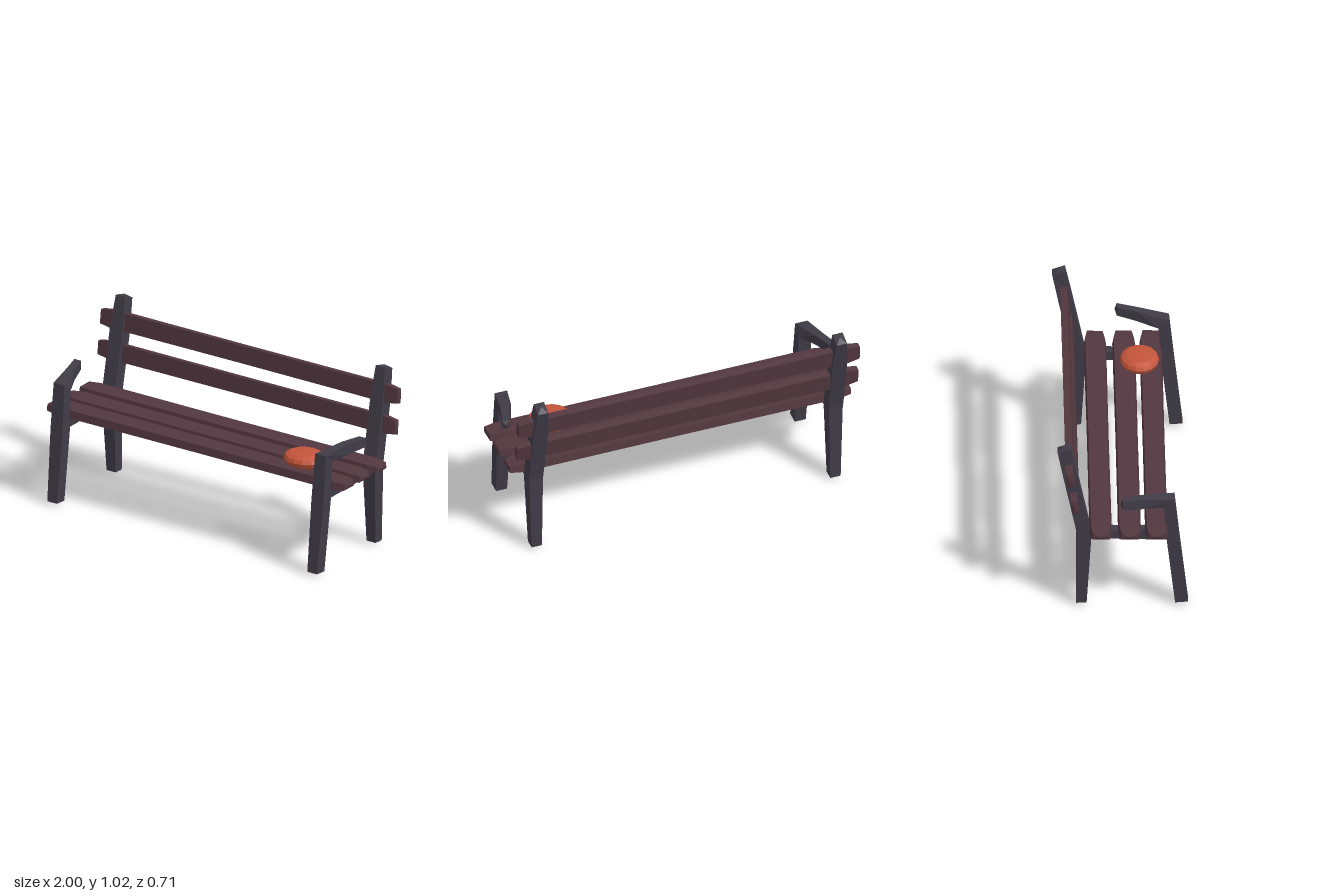
import * as THREE from 'three';

const material = (name, color) => {
  const m = new THREE.MeshStandardMaterial({ color });
  m.name = name;
  return m;
};

// Faceted normals for any geometry
function facet(geo) {
  const g = geo.index ? geo.toNonIndexed() : geo;
  g.computeVertexNormals();
  return g;
}

// Skins four-cornered rings and closes both ends with a low blunt point
function loft(rings, tip = 0.013) {
  const mid = r => r.reduce((s, p) => s.add(p), new THREE.Vector3()).multiplyScalar(1 / r.length);
  const apex = (end, next) => {
    const c = mid(end);
    return c.clone().add(c.clone().sub(mid(next)).setLength(tip));
  };
  const n = rings.length;
  const pts = [...rings.flat(), apex(rings[0], rings[1]), apex(rings[n - 1], rings[n - 2])];
  const tris = [];
  for (let k = 0; k < 4; k++) {
    const j = (k + 1) % 4, last = (n - 1) * 4;
    for (let i = 0; i < n - 1; i++) {
      const a = i * 4 + k, b = i * 4 + j;
      tris.push([a, b, b + 4], [a, b + 4, a + 4]);
    }
    tris.push([n * 4, j, k], [n * 4 + 1, last + k, last + j]);
  }
  // Turn the faces outward when the rings run the other way round
  const volume = tris.reduce((v, [a, b, c]) => v + pts[a].dot(pts[b].clone().cross(pts[c])), 0);
  if (volume < 0) tris.forEach(t => t.reverse());
  const geo = new THREE.BufferGeometry().setFromPoints(pts);
  geo.setIndex(tris.flat());
  return facet(geo);
}

// Frame bar; each row is front z, y, back z, y, centre x, half width
function bar(rows, side) {
  return loft(rows.map(([zf, yf, zb, yb, x, w]) => [
    new THREE.Vector3(side * (x - w), yf, zf),
    new THREE.Vector3(side * (x + w), yf, zf),
    new THREE.Vector3(side * (x + w), yb, zb),
    new THREE.Vector3(side * (x - w), yb, zb),
  ]));
}

// Plank along x; corners are [z, y], with narrowed ends
function plank(corners) {
  const cz = corners.reduce((s, c) => s + c[0], 0) / 4;
  const cy = corners.reduce((s, c) => s + c[1], 0) / 4;
  const stations = [[-0.99, 0.8], [-0.92, 1], [0, 0.97], [0.92, 1], [0.99, 0.8]];
  return loft(stations.map(([x, s]) =>
    corners.map(([z, y]) => new THREE.Vector3(x, cy + (y - cy) * s, cz + (z - cz) * s))), 0.008);
}

export function createModel() {
  const model = new THREE.Group();
  model.name = 'bench';
  const iron = material('dark iron', 0x403c47);
  const wood = material('dark wood', 0x52373f);
  const orange = material('orange', 0xc4553b);
  const add = (name, geo, mat, parent = model) => {
    const mesh = new THREE.Mesh(geo, mat);
    mesh.name = name;
    parent.add(mesh);
    return mesh;
  };

  // End frames
  for (const side of [-1, 1]) {
    const frame = new THREE.Group();
    frame.name = side < 0 ? 'rightFrame' : 'leftFrame';
    model.add(frame);
    add('frontLegAndArmrest', bar([
      [0.355, 0.025, 0.285, 0.02, 0.867, 0.032],
      [0.31, 0.43, 0.24, 0.43, 0.87, 0.04],
      [0.283, 0.695, 0.225, 0.645, 0.872, 0.036],
      [0.11, 0.72, 0.11, 0.658, 0.915, 0.024],
      [0, 0.724, 0, 0.672, 0.95, 0.022],
    ], side), iron, frame);
    add('backPost', bar([
      [-0.195, 0.025, -0.253, 0.022, 0.867, 0.03],
      [-0.17, 0.45, -0.25, 0.48, 0.87, 0.04],
      [-0.18, 0.52, -0.255, 0.52, 0.87, 0.042],
      [-0.248, 0.86, -0.32, 0.84, 0.868, 0.042],
      [-0.282, 1.025, -0.352, 1.0, 0.867, 0.03],
    ], side), iron, frame);
    add('seatRail', bar([
      [0.26, 0.505, 0.26, 0.43, 0.87, 0.028],
      [0.05, 0.485, 0.05, 0.436, 0.87, 0.028],
      [-0.2, 0.505, -0.2, 0.446, 0.87, 0.028],
    ], side), iron, frame);
  }

  // Seat slats, front to back
  for (const [z0, z1] of [[0.245, 0.122], [0.1, -0.025], [-0.058, -0.18]]) {
    add('seatSlat', plank([[z0, 0.49], [z0 - 0.008, 0.535], [z1 + 0.008, 0.538], [z1, 0.492]]), wood);
  }

  // Backrest slats
  add('upperBackSlat', plank([[-0.258, 0.832], [-0.27, 0.932], [-0.31, 0.926], [-0.302, 0.822]]), wood);
  add('lowerBackSlat', plank([[-0.234, 0.66], [-0.246, 0.757], [-0.286, 0.75], [-0.276, 0.648]]), wood);

  // Round cushion lying on the seat
  const profile = [[0, 0.535], [0.09, 0.535], [0.112, 0.55], [0.122, 0.572], [0.112, 0.592], [0.085, 0.605], [0, 0.61]]
    .map(([r, y]) => new THREE.Vector2(r, y));
  const cushion = add('cushion', facet(new THREE.LatheGeometry(profile, 14)), orange);
  cushion.position.set(0.65, 0, 0.118);
  cushion.scale.z = 0.88;

  return model;
}
